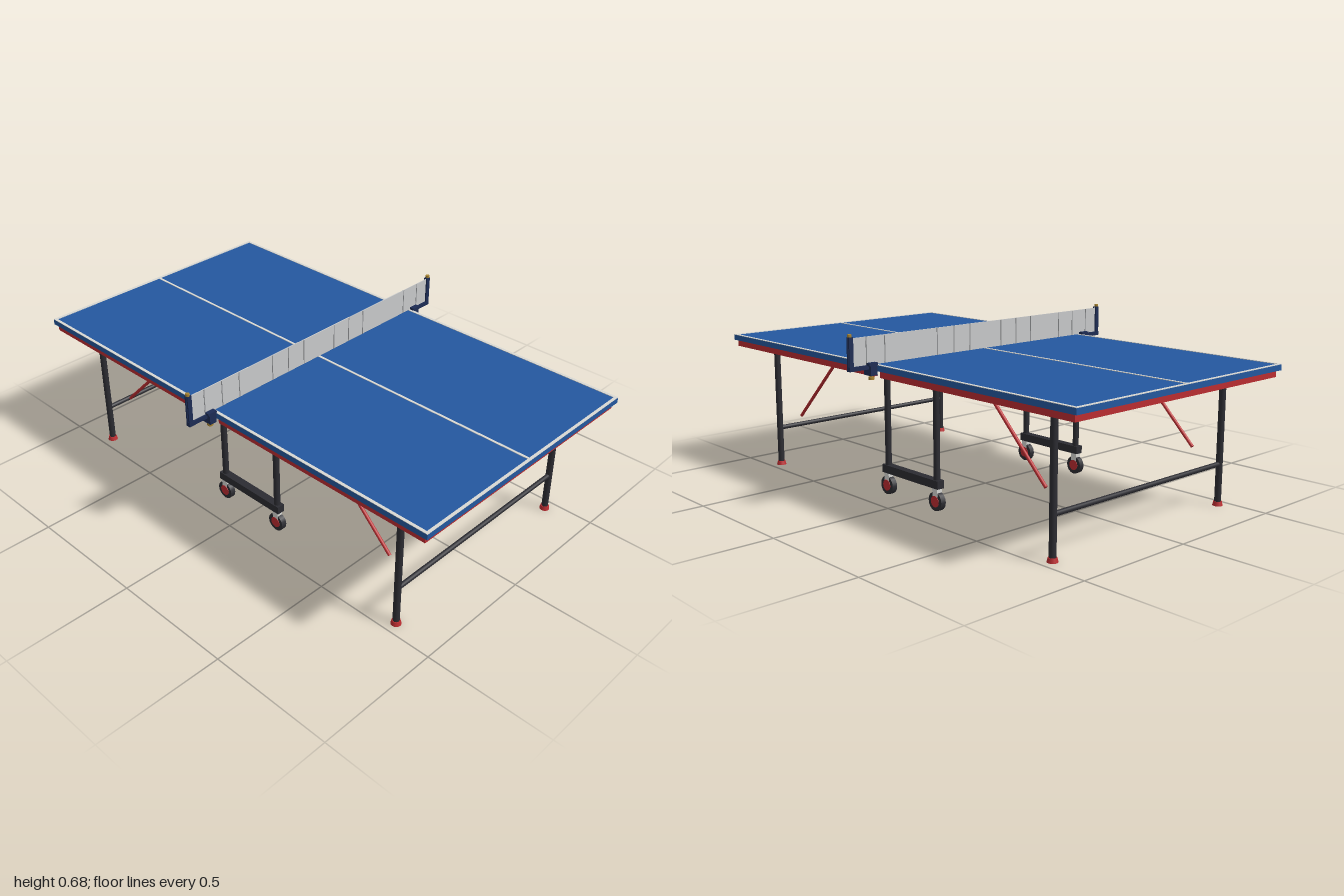
import * as THREE from 'three';

const mat = (name, color) => {
  const m = new THREE.MeshStandardMaterial({ color });
  m.name = name;
  return m;
};

export function createModel() {
  const blue = mat('table blue', 0x24589f);
  const white = mat('line white', 0xd8d8d4);
  const red = mat('frame red', 0xbc2d31);
  const dark = mat('dark steel', 0x2c2c32);
  const navy = mat('clamp navy', 0x1d2c54);
  const grey = mat('net grey', 0xc9cacb);
  const seam = mat('net seam grey', 0x909294);
  const gold = mat('brass', 0xa88432);
  const model = new THREE.Group();
  model.name = 'tableTennisTable';

  const add = (name, geo, material, x, y, z) => {
    const mesh = new THREE.Mesh(geo, material);
    mesh.name = name;
    mesh.position.set(x, y, z);
    model.add(mesh);
    return mesh;
  };
  const box = (name, m, w, h, d, x, y, z) => add(name, new THREE.BoxGeometry(w, h, d), m, x, y, z);
  const rod = (name, m, rTop, rBottom, h, x, y, z) =>
    add(name, new THREE.CylinderGeometry(rTop, rBottom, h, 16), m, x, y, z);

  for (const s of [1, -1]) {
    // Half of the top, with its painted lines
    box('tableTop', blue, 1.1, 0.022, 0.999, 0, 0.547, s * 0.5005);
    box('centreLine', white, 0.01, 0.002, 0.999, 0, 0.559, s * 0.5005);
    box('endLine', white, 1.1, 0.002, 0.012, 0, 0.559, s * 0.994);
    for (const x of [-1, 1]) box('sideLine', white, 0.012, 0.002, 0.987, x * 0.544, 0.559, s * 0.4945);

    // Red frame below the top
    box('endRail', red, 1.08, 0.026, 0.02, 0, 0.523, s * 0.975);
    for (const x of [-1, 1]) box('sideRail', red, 0.02, 0.026, 0.945, x * 0.53, 0.523, s * 0.4925);

    // End legs and crossbar
    for (const x of [-1, 1]) {
      rod('endLeg', dark, 0.013, 0.013, 0.521, x * 0.453, 0.2755, s * 0.817);
      rod('foot', red, 0.016, 0.02, 0.016, x * 0.453, 0.008, s * 0.817);
    }
    const bar = rod('crossbar', dark, 0.0095, 0.0095, 0.9, 0, 0.163, s * 0.817);
    bar.rotation.z = Math.PI / 2;

    // Diagonal struts
    for (const x of [-1, 1]) {
      const a = new THREE.Vector3(x * 0.398, 0.525, s * 0.425);
      const b = new THREE.Vector3(x * 0.398, 0.223, s * 0.73);
      const strut = rod('strut', red, 0.0065, 0.0065, a.distanceTo(b), 0, 0, 0);
      strut.position.copy(a).add(b).multiplyScalar(0.5);
      strut.quaternion.setFromUnitVectors(new THREE.Vector3(0, 1, 0), a.sub(b).normalize());
    }
  }

  // Wheeled undercarriage on each side
  for (const x of [-1, 1]) {
    box('wheelBar', dark, 0.032, 0.032, 0.335, x * 0.38, 0.105, 0);
    for (const z of [-1, 1]) {
      rod('wheelLeg', dark, 0.0125, 0.0125, 0.43, x * 0.38, 0.321, z * 0.147);
      box('wheelFork', white, 0.024, 0.034, 0.028, x * 0.38, 0.074, z * 0.147);
      const wheel = rod('wheel', dark, 0.037, 0.037, 0.022, x * 0.38, 0.038, z * 0.147);
      const hub = rod('wheelHub', red, 0.022, 0.022, 0.026, x * 0.38, 0.038, z * 0.147);
      wheel.rotation.z = hub.rotation.z = Math.PI / 2;
    }
  }

  // Net with vertical seams
  box('net', grey, 1.32, 0.105, 0.004, 0, 0.6125, 0);
  for (const i of [-7, -6, -5, -3, -2, -1, 1, 2, 3, 6, 7])
    box('netSeam', seam, 0.004, 0.104, 0.006, i * 0.0836, 0.6125, 0);

  // Net posts, arms, clamps and screws
  for (const x of [-1, 1]) {
    for (const z of [-1, 1]) box('netPost', navy, 0.018, 0.125, 0.006, x * 0.655, 0.6075, z * 0.005);
    rod('postCap', gold, 0.008, 0.008, 0.01, x * 0.657, 0.675, 0);
    box('netArm', navy, 0.115, 0.016, 0.018, x * 0.6065, 0.553, 0);
    box('clampJaw', navy, 0.038, 0.01, 0.044, x * 0.567, 0.564, 0);
    box('clampBody', navy, 0.03, 0.042, 0.044, x * 0.566, 0.543, 0);
    rod('clampScrew', gold, 0.007, 0.007, 0.012, x * 0.564, 0.517, 0);
    rod('screwKnob', gold, 0.011, 0.011, 0.01, x * 0.564, 0.51, 0);
  }
  return model;
}
